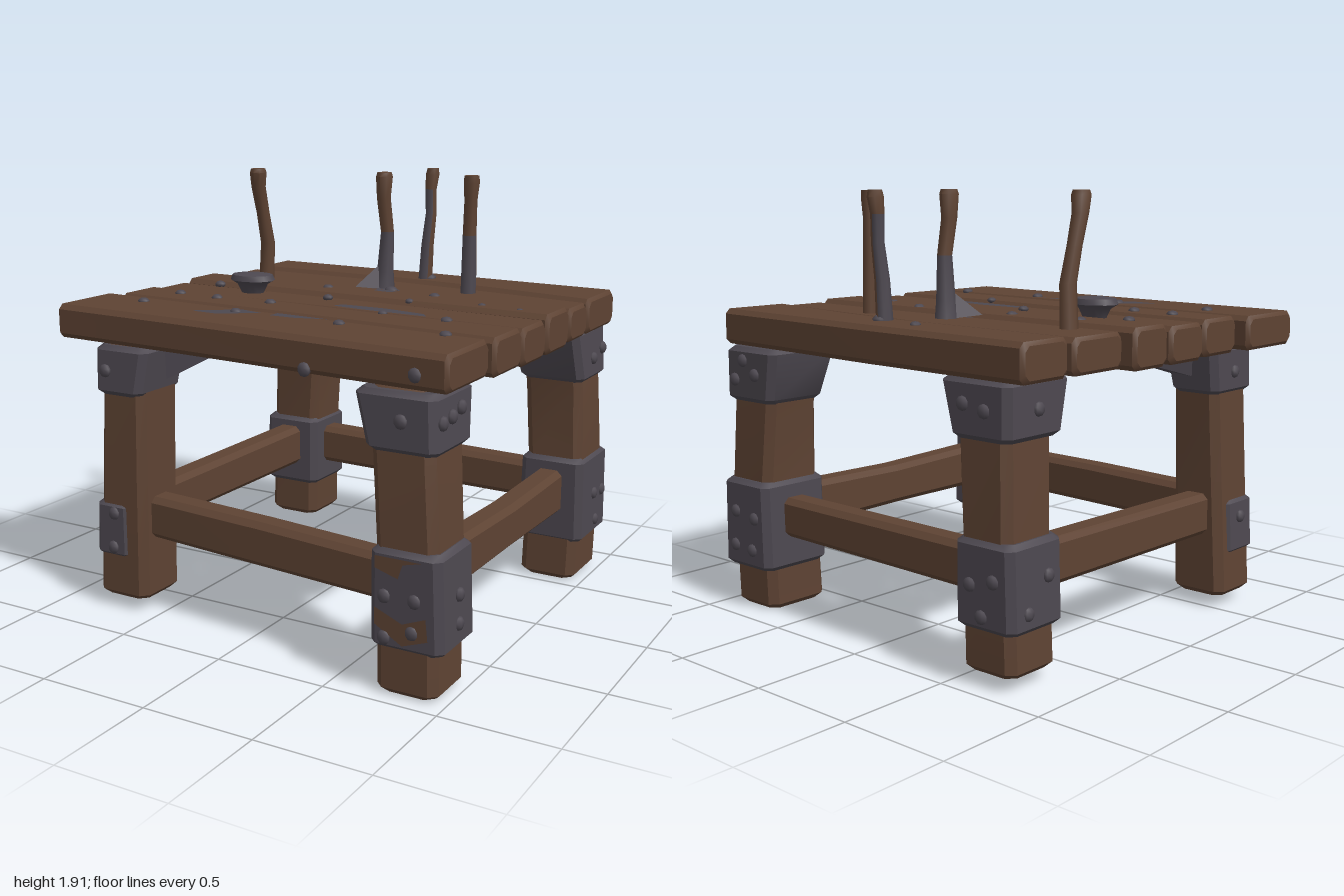
import * as THREE from 'three';
import { toCreasedNormals } from 'three/addons/utils/BufferGeometryUtils.js';
import { ConvexGeometry } from 'three/addons/geometries/ConvexGeometry.js';

const V = (x, y, z) => new THREE.Vector3(x, y, z);

// Skin a list of rings; pick(centre, normal) gives the material index of each face
function loft(rings, pick = () => 0, crease = 0.6) {
  const lists = [[], []];
  const tri = (a, b, c) => {
    const n = b.clone().sub(a).cross(c.clone().sub(a)).normalize();
    const m = a.clone().add(b).add(c).divideScalar(3);
    for (const p of [a, b, c]) lists[pick(m, n)].push(p.x, p.y, p.z);
  };
  const n = rings[0].length, last = rings[rings.length - 1];
  for (let i = 0; i < rings.length - 1; i++)
    for (let j = 0; j < n; j++) {
      const k = (j + 1) % n, A = rings[i], B = rings[i + 1];
      tri(A[j], A[k], B[k]);
      tri(A[j], B[k], B[j]);
    }
  for (let j = 1; j < n - 1; j++) {
    tri(rings[0][0], rings[0][j + 1], rings[0][j]);
    tri(last[0], last[j], last[j + 1]);
  }
  const g = new THREE.BufferGeometry();
  g.setAttribute('position', new THREE.Float32BufferAttribute([...lists[0], ...lists[1]], 3));
  g.addGroup(0, lists[0].length / 3, 0);
  if (lists[1].length) g.addGroup(lists[0].length / 3, lists[1].length / 3, 1);
  return toCreasedNormals(g, crease);
}

// Bevelled bar along an axis; stations are [t, a0, a1, b0, b1] on the next two axes
function bar(axis, stations, c, pick) {
  const put = { x: (t, a, b) => V(t, a, b), y: (t, a, b) => V(b, t, a), z: (t, a, b) => V(a, b, t) }[axis];
  const ring = ([t, a0, a1, b0, b1], s = 0) => {
    a0 += s; a1 -= s; b0 += s; b1 -= s;
    return [[a1, b0 + c], [a1, b1 - c], [a1 - c, b1], [a0 + c, b1], [a0, b1 - c], [a0, b0 + c], [a0 + c, b0], [a1 - c, b0]]
      .map(([a, b]) => put(t, a, b));
  };
  const first = stations[0], last = stations[stations.length - 1];
  const inset = (s, d) => [s[0] + d, ...s.slice(1)];
  return loft([ring(first, c * 0.7), ring(inset(first, c * 0.7)), ...stations.slice(1, -1).map(s => ring(s)),
    ring(inset(last, -c * 0.7)), ring(last, c * 0.7)], pick);
}

export function createModel() {
  const group = new THREE.Group();
  const wood = new THREE.MeshStandardMaterial({ color: 0x5e4333 });
  wood.name = 'brown wood';
  const metal = new THREE.MeshStandardMaterial({ color: 0x4d4850 });
  metal.name = 'dark metal';
  const add = (name, geometry, material) => {
    const m = new THREE.Mesh(geometry, material);
    m.name = name;
    group.add(m);
    return m;
  };

  // Six uneven planks: [top, bottom, [x, zBack, zFront]...]
  const planks = [
    [1.38, 1.22, [-0.88, -0.95, -0.68], [0, -0.92, -0.66], [0.45, -0.89, -0.61], [1, -0.86, -0.51]],
    [1.37, 1.22, [-0.88, -0.65, -0.34], [0, -0.63, -0.32], [0.5, -0.57, -0.31], [1, -0.5, -0.28]],
    [1.385, 1.21, [-0.93, -0.33, -0.1], [0, -0.31, -0.06], [1, -0.27, -0.02]],
    [1.37, 1.21, [-0.93, -0.08, 0.16], [0, -0.05, 0.19], [1, 0, 0.25]],
    [1.38, 1.22, [-0.94, 0.15, 0.4], [-0.3, 0.19, 0.43], [0.3, 0.24, 0.47], [1, 0.26, 0.53]],
    [1.38, 1.23, [-1, 0.4, 0.77], [-0.3, 0.45, 0.81], [0.98, 0.54, 0.91]],
  ];
  planks.forEach(([top, bottom, ...st], i) => add('plank' + (i + 1),
    bar('x', st.map(([x, a, b]) => [x, bottom, top, a, b]), 0.022, (m, n) => (n.y < -0.8 && i < 5 ? 1 : 0)),
    [wood, metal]));

  // Legs, caps and bands: stations are [y, zBack, zFront, xRight, xLeft]
  const legs = {
    frontLeft: {
      leg: [[0.01, 0.66, 0.93, 0.69, 0.96], [0.6, 0.64, 0.92, 0.68, 0.95], [0.95, 0.61, 0.9, 0.65, 0.92], [1.23, 0.58, 0.88, 0.62, 0.9]],
      cap: [[0.98, 0.59, 0.915, 0.63, 0.94], [1.22, 0.56, 0.91, 0.58, 0.93]],
      band: [[0.2, 0.63, 0.94, 0.67, 0.99], [0.61, 0.63, 0.94, 0.67, 0.975]],
    },
    frontRight: {
      leg: [[0.06, 0.5, 0.77, -0.83, -0.56], [0.6, 0.5, 0.77, -0.8, -0.55], [1.23, 0.48, 0.75, -0.78, -0.55]],
      cap: [[1.0, 0.47, 0.78, -0.8, -0.55], [1.22, 0.45, 0.77, -0.8, -0.52]],
      band: [[0.25, 0.55, 0.78, -0.83, -0.63], [0.51, 0.55, 0.78, -0.82, -0.63]],
    },
    backLeft: {
      leg: [[0.01, -0.87, -0.55, 0.69, 0.96], [0.6, -0.88, -0.57, 0.7, 0.97], [0.95, -0.87, -0.59, 0.67, 0.95], [1.23, -0.86, -0.55, 0.64, 0.92]],
      cap: [[0.97, -0.89, -0.57, 0.65, 0.965], [1.22, -0.9, -0.52, 0.61, 0.95]],
      band: [[0.2, -0.91, -0.55, 0.67, 0.99], [0.61, -0.91, -0.55, 0.68, 0.985]],
    },
    backRight: {
      leg: [[0.06, -0.92, -0.64, -0.8, -0.53], [0.6, -0.92, -0.64, -0.78, -0.52], [1.23, -0.88, -0.6, -0.74, -0.46]],
      cap: [[0.98, -0.92, -0.58, -0.78, -0.47], [1.22, -0.92, -0.54, -0.78, -0.42]],
      band: [[0.24, -0.94, -0.62, -0.82, -0.51], [0.6, -0.94, -0.62, -0.81, -0.51]],
    },
  };
  for (const [name, { leg, cap, band }] of Object.entries(legs)) {
    add(name + 'Leg', bar('y', leg, 0.035), wood);
    add(name + 'Cap', bar('y', cap, 0.03), metal);
    add(name + 'Band', bar('y', band, 0.03), metal);
  }

  // Stretchers between the legs
  add('frontStretcher', bar('x', [[-0.6, 0.35, 0.54, 0.58, 0.71], [0.05, 0.345, 0.54, 0.64, 0.77], [0.72, 0.34, 0.53, 0.7, 0.83]], 0.025), wood);
  add('backStretcher', bar('x', [[-0.6, 0.35, 0.54, -0.85, -0.72], [0.72, 0.35, 0.53, -0.8, -0.67]], 0.025), wood);
  add('leftStretcher', bar('z', [[-0.6, 0.76, 0.89, 0.34, 0.55], [0, 0.76, 0.89, 0.35, 0.54], [0.68, 0.76, 0.89, 0.35, 0.56]], 0.025), wood);
  add('rightStretcher', bar('z', [[-0.68, -0.73, -0.6, 0.35, 0.55], [0.55, -0.75, -0.62, 0.35, 0.54]], 0.025), wood);

  // Pointed corner brace under the top
  add('cornerBrace', new ConvexGeometry([V(-0.55, 1.22, 0.72), V(-0.55, 1.05, 0.6), V(-0.7, 1.22, 0.46),
    V(-0.68, 1.08, 0.47), V(-0.55, 1.12, 0.48), V(-0.33, 1.215, 0.12)]), metal);

  // Upright handles: rings of [y, x, z, radius], partly metal
  const handle = (name, path, pick) => add(name, loft(path.map(([y, x, z, r]) =>
    Array.from({ length: 8 }, (_, k) => {
      const a = (k / 8) * Math.PI * 2;
      return V(x + Math.cos(a) * r, y, z - Math.sin(a) * r * 1.1);
    })), pick, 0.9), [wood, metal]);
  handle('handle1', [[1.36, -0.66, -0.41, 0.037], [1.55, -0.645, -0.4, 0.034], [1.7, -0.645, -0.36, 0.031],
    [1.83, -0.65, -0.33, 0.034], [1.9, -0.638, -0.31, 0.04], [1.92, -0.638, -0.31, 0.034]], () => 0);
  handle('handle2', [[1.36, 0.0, -0.43, 0.05], [1.45, 0.005, -0.43, 0.04], [1.64, 0.02, -0.42, 0.031],
    [1.8, 0.01, -0.4, 0.033], [1.9, 0.015, -0.395, 0.04], [1.92, 0.015, -0.395, 0.034]], m => (m.y < 1.64 ? 1 : 0));
  handle('handle3', [[1.36, 0.42, -0.48, 0.038], [1.64, 0.42, -0.48, 0.033], [1.8, 0.425, -0.475, 0.031],
    [1.88, 0.43, -0.47, 0.038], [1.915, 0.43, -0.47, 0.036]], (m, n) => (m.y < 1.64 && n.z > -0.3 ? 1 : 0));
  handle('handle4', [[1.36, 0.07, -0.73, 0.035], [1.55, 0.078, -0.735, 0.031], [1.7, 0.09, -0.745, 0.027],
    [1.82, 0.085, -0.75, 0.028], [1.89, 0.09, -0.755, 0.034], [1.92, 0.092, -0.755, 0.028]],
  (m, n) => (m.y < 1.82 && n.x - n.z * 0.5 < 0 + (n.z < 0 ? 0.4 : 0) ? 1 : 0));
  add('blade', new ConvexGeometry([V(-0.03, 1.37, -0.44), V(0.03, 1.37, -0.4), V(0.0, 1.5, -0.42), V(-0.09, 1.38, -0.3)]), metal);

  // Shallow dish
  const dish = add('dish', toCreasedNormals(new THREE.LatheGeometry(
    [[0, 0], [0.055, 0], [0.075, 0.04], [0.11, 0.06], [0.1, 0.085], [0.05, 0.092], [0, 0.094]]
      .map(([x, y]) => new THREE.Vector2(x, y)), 12), 0.7), metal);
  dish.position.set(-0.465, 1.37, 0.01);
  dish.scale.z = 0.8;

  // Rivets, flattened along the face they sit on
  const rivetShape = new THREE.SphereGeometry(1, 7, 5);
  const rivet = (axis, x, y, z, r = 0.03) => {
    const m = add('rivet', rivetShape, metal);
    m.position.set(x, y, z);
    m.scale.setScalar(r);
    m.scale[axis] = r * 0.65;
  };
  for (const [x, z, r] of [[-0.16, -0.78, 0.024], [0.08, -0.74, 0.042], [-0.56, -0.21], [-0.19, -0.22], [0.11, -0.29, 0.034],
    [0.36, -0.24], [0.65, -0.12, 0.02], [0.84, -0.09, 0.016], [-0.7, -0.06], [-0.05, 0.02, 0.024], [0.32, -0.07, 0.02],
    [-0.7, 0.26], [-0.48, 0.28], [-0.2, 0.27], [0.36, 0.26, 0.022], [0.67, 0.28], [-0.71, 0.52], [-0.2, 0.54], [0.32, 0.56], [0.8, 0.56]])
    rivet('y', x, 1.38, z, r ?? 0.027);
  for (const [x, y, z] of [[0.34, 1.25, 0.865], [0.84, 1.29, 0.9], [-0.73, 1.11, 0.78], [-0.71, 0.46, 0.78], [-0.72, 0.3, 0.78],
    [0.79, 1.11, 0.915], [0.74, 0.42, 0.94], [0.87, 0.42, 0.94], [0.86, 0.29, 0.94], [0.74, 0.25, 0.94]])
    rivet('z', x, y, z);
  for (const [x, y, s] of [[0.74, 1.1, 0.9], [0.82, 1.16, 0.9], [0.88, 1.07, 0.9], [0.76, 0.44, 0.91], [0.89, 0.46, 0.91],
    [0.78, 0.29, 0.91], [0.9, 0.3, 0.91], [-0.66, 1.1, 0.92], [-0.55, 1.12, 0.92], [-0.72, 0.45, 0.94], [-0.6, 0.42, 0.94], [-0.66, 0.3, 0.94]])
    rivet('z', x, y, -s);
  for (const [x, y, z] of [[0.94, 1.11, 0.86], [0.94, 1.12, 0.78], [0.94, 1.14, 0.7], [0.985, 0.42, 0.78], [0.985, 0.3, 0.78],
    [0.96, 1.07, -0.72], [0.96, 1.1, -0.84], [0.985, 0.41, -0.73], [0.985, 0.4, -0.84], [0.985, 0.27, -0.76],
    [-0.8, 1.1, 0.62], [-0.825, 0.42, 0.66], [-0.78, 1.1, -0.74], [-0.815, 0.45, -0.72], [-0.815, 0.32, -0.84], [-0.44, 1.1, -0.68]])
    rivet('x', x, y, z);

  // Thin patches: worn wood on the bands, metal stains on the planks
  const shape = pts => new THREE.ShapeGeometry(new THREE.Shape(pts.map(p => new THREE.Vector2(...p))));
  const stain = (y, pts) => {
    const m = add('stain', shape(pts.map(([x, z]) => [x, -z])), metal);
    m.rotation.x = -Math.PI / 2;
    m.position.y = y + 0.003;
  };
  stain(1.38, [[-0.38, 0.62], [-0.24, 0.63], [-0.08, 0.52], [-0.2, 0.49]]);
  stain(1.38, [[-0.02, 0.55], [0.1, 0.55], [0.24, 0.51], [-0.02, 0.49]]);
  stain(1.37, [[0.06, 0.16], [0.2, 0.18], [0.54, 0.2], [0.5, 0.15], [0.3, 0.11], [0.08, 0.11]]);
  stain(1.385, [[0.06, -0.22], [0.15, -0.21], [0.16, -0.25], [0.05, -0.27]]);
  stain(1.37, [[-0.1, -0.35], [0.14, -0.34], [0.1, -0.38], [-0.06, -0.37]]);
  for (const pts of [[[0.7, 0.58], [0.7, 0.53], [0.8, 0.5], [0.82, 0.56], [0.9, 0.58]],
    [[0.7, 0.37], [0.7, 0.3], [0.82, 0.23], [0.93, 0.27], [0.92, 0.36], [0.82, 0.32]]])
    add('wornPatch', shape(pts), wood).position.z = 0.943;

  return group;
}
